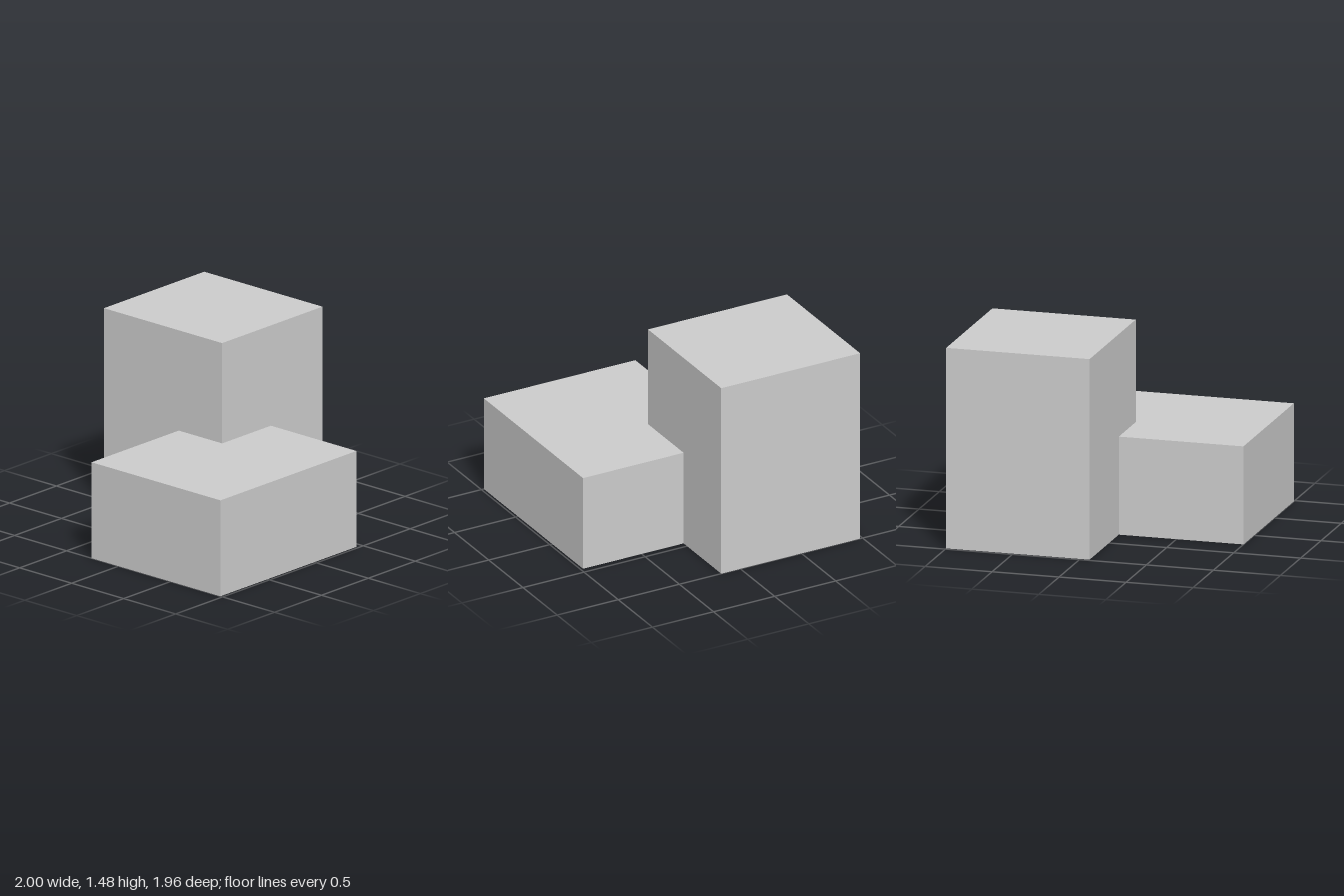
import * as THREE from 'three';

const material = new THREE.MeshStandardMaterial({ color: 0xcccccc, flatShading: true });

// Box standing on the ground, given by its extents in x and z and its height
function block(name, [x0, x1], [z0, z1], height) {
  const mesh = new THREE.Mesh(new THREE.BoxGeometry(x1 - x0, height, z1 - z0), material);
  mesh.position.set((x0 + x1) / 2, height / 2, (z0 + z1) / 2);
  mesh.name = name;
  return mesh;
}

export function createModel() {
  const model = new THREE.Group();
  model.name = 'steppedBlocks';
  model.add(
    // Low wide block at the front right
    block('lowBlock', [-1, 0.45], [-0.26, 0.98], 0.725),
    // Tall block at the back left, overlapping the low block's corner
    block('tallBlock', [-0.07, 1], [-0.98, 0.157], 1.483),
  );
  return model;
}
